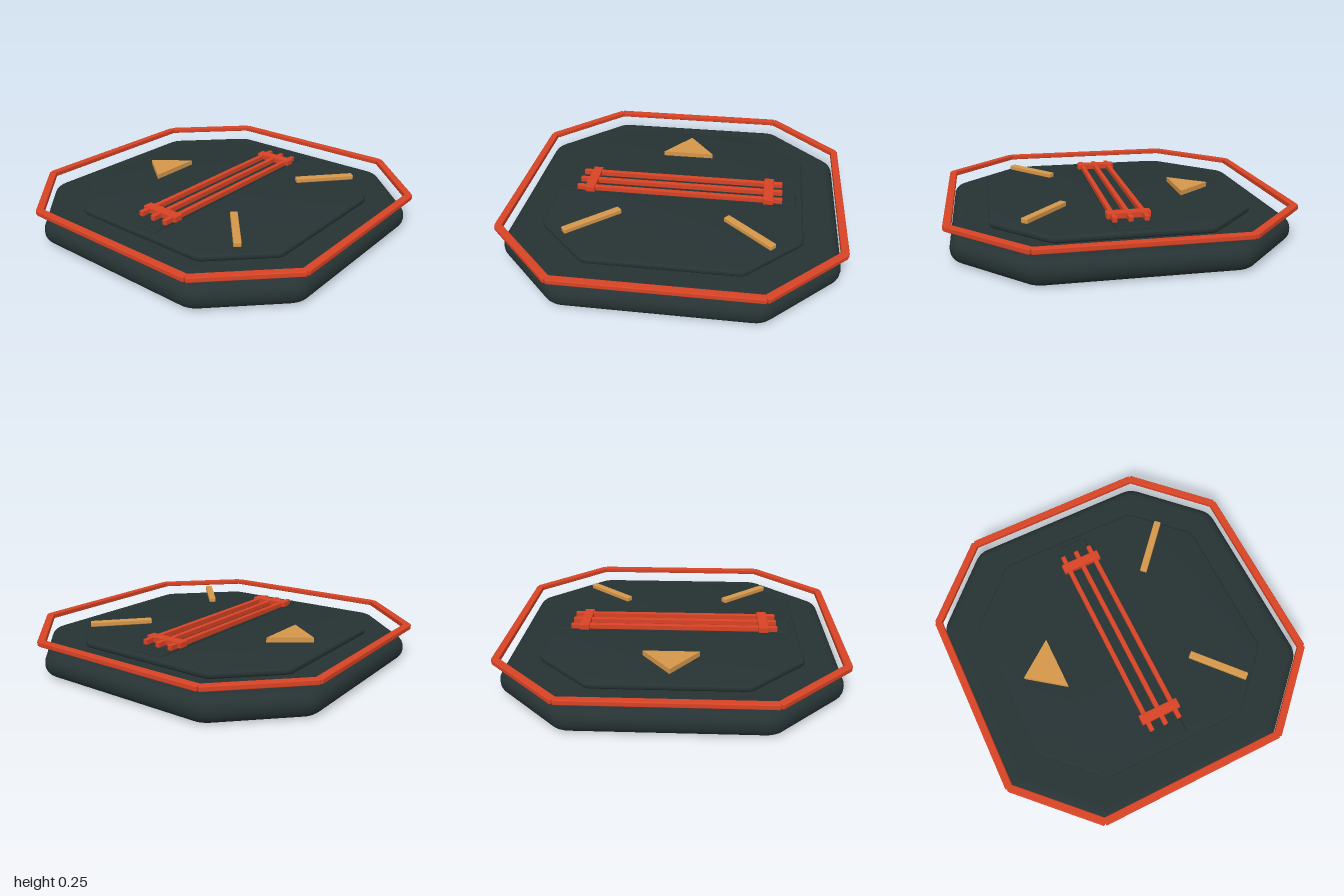
import * as THREE from 'three';
import { toCreasedNormals } from 'three/addons/utils/BufferGeometryUtils.js';
import { RoundedBoxGeometry } from 'three/addons/geometries/RoundedBoxGeometry.js';

const material = (name, color) => {
  const m = new THREE.MeshStandardMaterial({ color });
  m.name = name;
  return m;
};

// Octagon of half-width a, straight sides reaching to c, corners softened by t
function octagon(a, c, t) {
  const pts = [[c, a], [-c, a], [-a, c], [-a, -c], [-c, -a], [c, -a], [a, -c], [a, c]]
    .map(([x, y]) => new THREE.Vector2(x, y));
  const shape = new THREE.Shape();
  pts.forEach((p, i) => {
    const toward = q => p.clone().add(q.clone().sub(p).setLength(t));
    const start = toward(pts[(i + 7) % 8]);
    const end = toward(pts[(i + 1) % 8]);
    if (i === 0) shape.moveTo(start.x, start.y);
    else shape.lineTo(start.x, start.y);
    shape.quadraticCurveTo(p.x, p.y, end.x, end.y);
  });
  shape.closePath();
  return shape;
}

// Horizontal slab with rounded rim between heights y0 and y1
function slab(shape, y0, y1, bevel, bevelY = bevel, segments = 6) {
  const g = new THREE.ExtrudeGeometry(shape, {
    depth: y1 - y0 - 2 * bevelY, bevelEnabled: bevel > 0, bevelSize: bevel,
    bevelThickness: bevelY, bevelSegments: segments, curveSegments: 4,
  });
  g.rotateX(-Math.PI / 2).translate(0, y0 + bevelY, 0);
  return toCreasedNormals(g, 0.6);
}

export function createModel() {
  const model = new THREE.Group();
  model.name = 'octagonalPad';
  const dark = material('darkSlate', 0x263233);
  const red = material('signalRed', 0xd84325);
  const gold = material('ochre', 0xd6974a);

  const add = (name, geometry, mat, x = 0, y = 0, z = 0, turn = 0) => {
    const mesh = new THREE.Mesh(geometry, mat);
    mesh.name = name;
    mesh.position.set(x, y, z);
    mesh.rotation.y = turn;
    model.add(mesh);
  };
  const bar = (w, h, d, r = 0.006) => new RoundedBoxGeometry(w, h, d, 2, r);

  // Thick cushion and thinner raised panel
  add('base', slab(octagon(0.905, 0.535, 0.03), 0, 0.145, 0.068, 0.066), dark);
  add('topPanel', slab(octagon(0.745, 0.438, 0.025), 0.152, 0.19, 0.015), dark);
  add('handlePad', bar(1.44, 0.03, 0.2, 0.012), dark, 0, 0.187, 0);

  // Eight rails floating around the rim
  const straight = bar(1.135, 0.03, 0.045);
  const diagonal = bar(0.59, 0.03, 0.045);
  for (let i = 0; i < 4; i++) {
    const a = i * Math.PI / 2;
    add('rimRail', straight, red, Math.sin(a) * 0.9775, 0.21, Math.cos(a) * 0.9775, a);
    const b = a + Math.PI / 4;
    add('rimCornerRail', diagonal, red, Math.sin(b) * 1.092, 0.21, Math.cos(b) * 1.092, b);
  }

  // Handle: three long bars held by two cross straps
  for (const z of [-0.09, 0, 0.09]) add('handleBar', bar(1.27, 0.032, 0.028, 0.004), red, 0, 0.219, z);
  for (const x of [-0.55, 0.55]) add('handleStrap', bar(0.06, 0.036, 0.25, 0.004), red, x, 0.223, 0);

  // Direction arrow pointing to the back
  const arrow = new THREE.Shape([
    new THREE.Vector2(-0.165, 0.42), new THREE.Vector2(0.165, 0.42), new THREE.Vector2(0, 0.64),
  ]);
  add('arrowMarker', slab(arrow, 0.19, 0.22, 0, 0), gold);

  // Slanted markers near the front
  for (const s of [-1, 1]) {
    add('slantMarker', bar(0.37, 0.03, 0.044), gold, s * 0.453, 0.23, 0.453, -s * 0.725);
  }
  return model;
}
